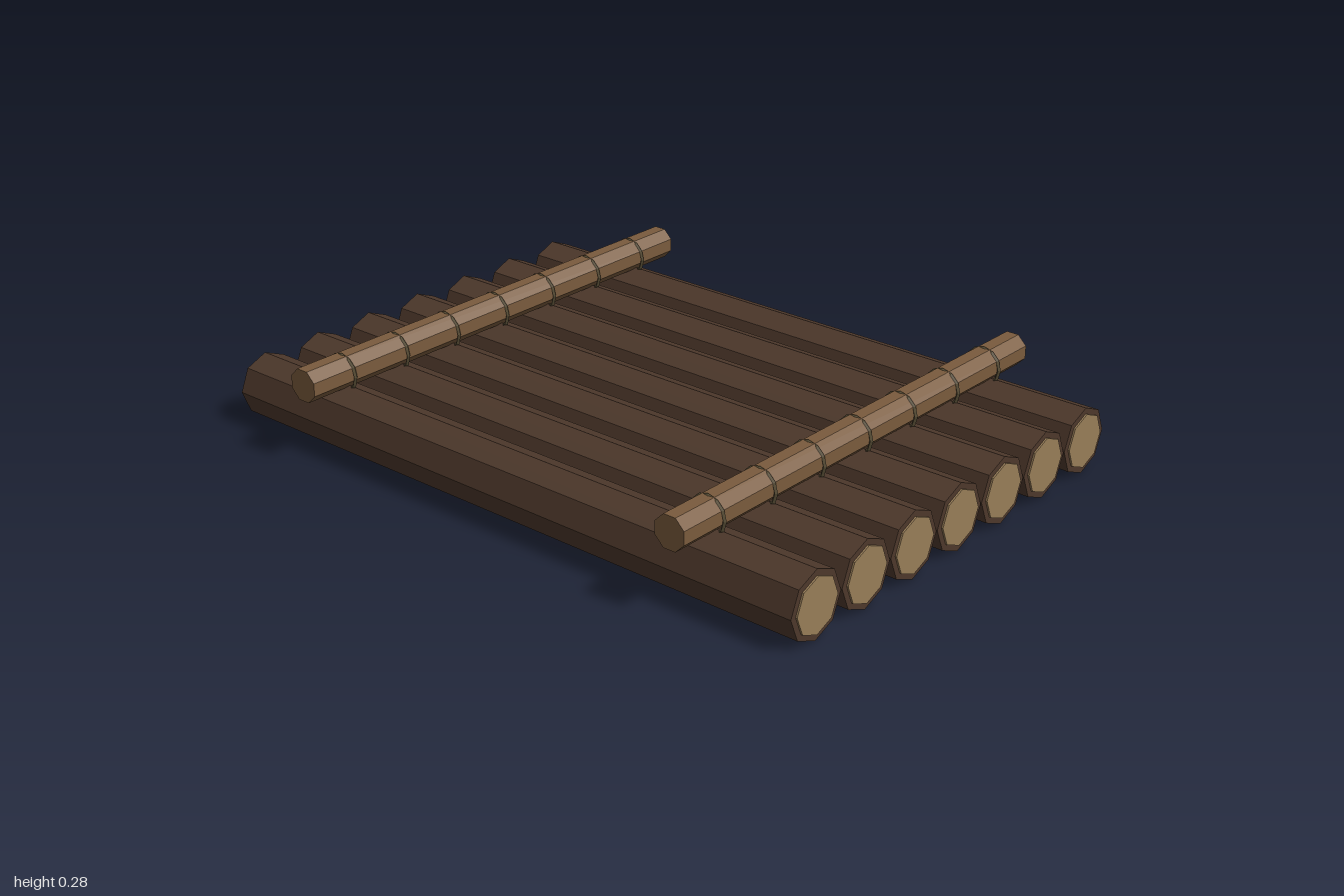
import * as THREE from 'three';

const mat = (name, color) => {
  const m = new THREE.MeshStandardMaterial({ color, flatShading: true });
  m.name = name;
  return m;
};

export function createModel() {
  const bark = mat('darkBark', 0x4d382b);
  const endGrain = mat('paleEndGrain', 0x987d58);
  const pole = mat('poleWood', 0x7a5b3d);
  const rope = mat('rope', 0x5c5138);

  const raft = new THREE.Group();
  raft.name = 'raft';
  const add = (name, geometry, material, x, y, z) => {
    const mesh = new THREE.Mesh(geometry, material);
    mesh.name = name;
    mesh.position.set(x, y, z);
    raft.add(mesh);
  };

  // Eight-sided logs run front to back and taper slightly towards the back
  const logGeo = new THREE.CylinderGeometry(0.098, 0.094, 1.99, 8).rotateX(Math.PI / 2);
  const capGeo = new THREE.CylinderGeometry(0.08, 0.08, 0.006, 8).rotateX(Math.PI / 2);

  // Cross poles lie flat side up
  const poleGeo = new THREE.CylinderGeometry(0.05, 0.05, 1.49, 8)
    .rotateY(Math.PI / 8).rotateZ(Math.PI / 2);

  // Thin rope loop around a pole
  const ropeGeo = new THREE.TorusGeometry(0.053, 0.006, 4, 12).rotateY(Math.PI / 2);

  const poleZ = [0.66, -0.66];
  for (let i = -3; i <= 3; i++) {
    const x = i * 0.2;
    add('log', logGeo, bark, x, 0.099, 0);
    for (const side of [1, -1]) add('logEnd', capGeo, endGrain, x, 0.099, side * 0.997);
    for (const z of poleZ) add('lashing', ropeGeo, rope, x, 0.226, z);
  }
  for (const z of poleZ) add('crossPole', poleGeo, pole, 0, 0.234, z);

  return raft;
}
